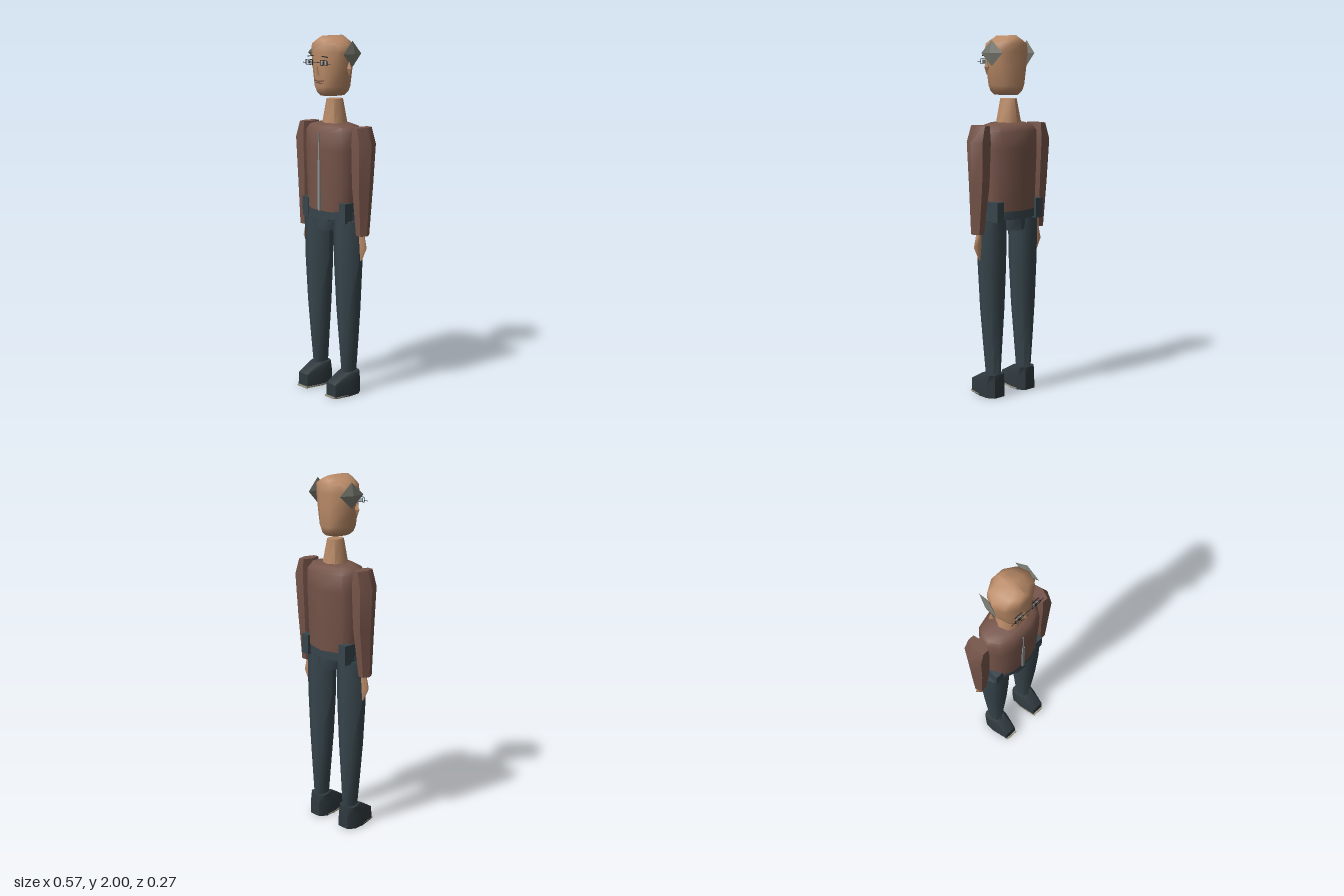
import * as THREE from 'three';
import { toCreasedNormals } from 'three/addons/utils/BufferGeometryUtils.js';

const mat = (name, color) => {
  const m = new THREE.MeshStandardMaterial({ color });
  m.name = name;
  return m;
};

// unit polygon with a corner on +x, running towards +z, scaled to reach z = 1
function ngon(n) {
  const pts = [];
  for (let i = 0; i < n; i++) {
    const a = (i / n) * Math.PI * 2;
    pts.push([Math.cos(a), Math.sin(a)]);
  }
  const m = Math.max(...pts.map(p => p[1]));
  return pts.map(([x, z]) => [x, z / m]);
}

// closed loft from bottom to top; each ring is [y, centreX, centreZ, scaleX, scaleZ]
function loft(outline, rings, crease = 0.85) {
  const n = outline.length, pos = [], idx = [];
  for (const [y, cx, cz, w, d] of rings)
    for (const [x, z] of outline) pos.push(cx + x * w, y, cz + z * d);
  for (let i = 0; i < rings.length - 1; i++)
    for (let j = 0; j < n; j++) {
      const a = i * n + j, b = i * n + (j + 1) % n;
      idx.push(a, a + n, b, b, a + n, b + n);
    }
  const top = (rings.length - 1) * n;
  for (let j = 1; j < n - 1; j++) {
    idx.push(0, j, j + 1);
    idx.push(top, top + j + 1, top + j);
  }
  const g = new THREE.BufferGeometry();
  g.setAttribute('position', new THREE.Float32BufferAttribute(pos, 3));
  g.setIndex(idx);
  return toCreasedNormals(g, crease);
}

export function createModel() {
  const skin = mat('skin', 0xb98a67);
  const sweater = mat('sweater', 0x755449);
  const trousers = mat('trousers', 0x37454c);
  const leather = mat('shoe leather', 0x2e383d);
  const soleMat = mat('sole', 0x9a9583);
  const hairMat = mat('grey hair', 0x77786e);
  const dark = mat('dark lines', 0x2b2a2a);
  const eyeMat = mat('eye', 0x9fb0b4);
  const lip = mat('lip', 0x7d5344);
  const metal = mat('zip metal', 0x8b9090);

  const model = new THREE.Group();
  model.name = 'man';
  const add = (name, geo, m, x = 0, y = 0, z = 0) => {
    const mesh = new THREE.Mesh(geo, m);
    mesh.name = name;
    mesh.position.set(x, y, z);
    model.add(mesh);
    return mesh;
  };
  const box = (name, m, w, h, d, x, y, z) => add(name, new THREE.BoxGeometry(w, h, d), m, x, y, z);

  // head and neck
  add('head', loft(ngon(10), [
    [1.68, 0, 0.002, 0.06, 0.072], [1.7, 0, 0.002, 0.08, 0.092], [1.73, 0, 0.002, 0.095, 0.098],
    [1.83, 0, 0.002, 0.115, 0.098], [1.91, 0, 0.002, 0.127, 0.098], [1.955, 0, 0.002, 0.122, 0.098],
    [1.98, 0, 0.002, 0.075, 0.09], [2.0, 0, 0.002, 0.02, 0.072]], 1.1), skin);
  add('neck', loft(ngon(8), [[1.52, 0, -0.016, 0.071, 0.07], [1.66, 0, -0.015, 0.04, 0.05]]), skin);

  // torso, pelvis: outline in real size, pointed at the back
  const body = [[0.175, 0.01], [0.14, 0.07], [0.065, 0.1], [-0.065, 0.1], [-0.14, 0.07], [-0.175, 0.01],
    [-0.17, -0.05], [-0.135, -0.1], [0, -0.138], [0.135, -0.1], [0.17, -0.05]];
  add('torso', loft(body, [
    [1.05, 0, 0, 0.93, 0.92], [1.2, 0, 0, 0.96, 0.96], [1.39, 0, 0, 1, 1], [1.485, 0, 0, 1, 0.97],
    [1.515, 0, 0, 0.9, 0.8], [1.53, 0, 0, 0.55, 0.6]]), sweater);
  add('pelvis', loft(body, [
    [0.94, 0, 0, 0.41, 0.86], [1.0, 0, 0, 0.43, 0.89], [1.005, 0, 0, 1.02, 0.89],
    [1.055, 0, 0, 1.0, 0.89]]), trousers);

  // zip
  box('zip', metal, 0.016, 0.28, 0.008, -0.002, 1.19, 0.1);
  box('zipTop', metal, 0.005, 0.15, 0.008, -0.004, 1.405, 0.099);

  const shoeOutline = [[0.058, 0.03], [0.036, 0.125], [-0.036, 0.125], [-0.058, 0.03],
    [-0.06, -0.03], [-0.035, -0.07], [0.035, -0.07], [0.06, -0.03]];

  for (const s of [1, -1]) {
    const side = s > 0 ? 'left' : 'right';
    const limb = (name, outline, rings, m) =>
      add(side + name, loft(outline, rings.map(([y, x, ...r]) => [y, x * s, ...r])), m);

    // arm and hand
    limb('Sleeve', ngon(6), [
      [0.93, 0.226, -0.01, 0.034, 0.034], [1.2, 0.218, -0.016, 0.053, 0.054],
      [1.43, 0.222, -0.018, 0.061, 0.063], [1.52, 0.21, -0.018, 0.034, 0.056]], sweater);
    limb('Hand', ngon(6), [
      [0.785, 0.213, -0.012, 0.004, 0.004], [0.86, 0.228, -0.012, 0.028, 0.014],
      [0.94, 0.216, -0.012, 0.014, 0.013]], skin);

    // leg, hip and shoe
    limb('Leg', ngon(8), [
      [0.12, 0.117, -0.015, 0.033, 0.05], [0.3, 0.118, -0.012, 0.05, 0.058],
      [0.5, 0.118, -0.009, 0.069, 0.066], [0.75, 0.118, -0.007, 0.083, 0.074],
      [1.005, 0.118, -0.006, 0.088, 0.078]], trousers);
    box(side + 'Hip', trousers, 0.05, 0.11, 0.18, s * 0.147, 1.05, -0.02);
    limb('Shoe', shoeOutline, [
      [0, 0.117, 0, 1.04, 1], [0.08, 0.117, 0, 1, 0.99], [0.13, 0.118, -0.029, 0.9, 0.51]], leather);
    limb('Sole', shoeOutline, [[0.002, 0.115, 0.01, 1.03, 1], [0.01, 0.115, 0.01, 1.03, 1]], soleMat);

    // ear
    add(side + 'Ear', new THREE.OctahedronGeometry(1), skin, s * 0.138, 1.83, 0.01)
      .scale.set(0.017, 0.04, 0.014);

    // side hair: thin tilted diamond
    const hair = add(side + 'Hair', new THREE.OctahedronGeometry(1), hairMat, s * 0.13, 1.905, -0.022);
    hair.scale.set(0.016, 0.07, 0.075);
    hair.rotation.y = s > 0 ? 0.12 : -0.16;

    // eye, spectacle frame and brow
    const ex = s * 0.056;
    box(side + 'Eye', eyeMat, 0.034, 0.018, 0.004, ex, 1.86, 0.116);
    box(side + 'Pupil', dark, 0.014, 0.018, 0.004, ex, 1.86, 0.118);
    for (const y of [1.847, 1.874]) box(side + 'FrameBar', dark, 0.052, 0.003, 0.003, ex, y, 0.12);
    for (const dx of [-0.026, 0.026]) box(side + 'FrameSide', dark, 0.003, 0.027, 0.003, ex + dx, 1.8605, 0.12);
    box(side + 'FrameTip', dark, 0.026, 0.003, 0.003, s * 0.094, 1.857, 0.119);
    box(side + 'Brow', dark, 0.046, 0.005, 0.004, ex, 1.893, 0.112).rotation.z = s * -0.08;
    box(side + 'Lip', lip, 0.036, 0.007, 0.006, s * 0.017, 1.761, 0.1).rotation.z = s * 0.12;
  }

  // nose, mouth and spectacle bridge
  add('nose', new THREE.ConeGeometry(0.016, 0.055, 4), skin, -0.008, 1.818, 0.107);
  box('bridge', dark, 0.06, 0.003, 0.003, 0, 1.861, 0.12);
  box('mouth', dark, 0.05, 0.003, 0.006, 0, 1.75, 0.1);

  return model;
}
